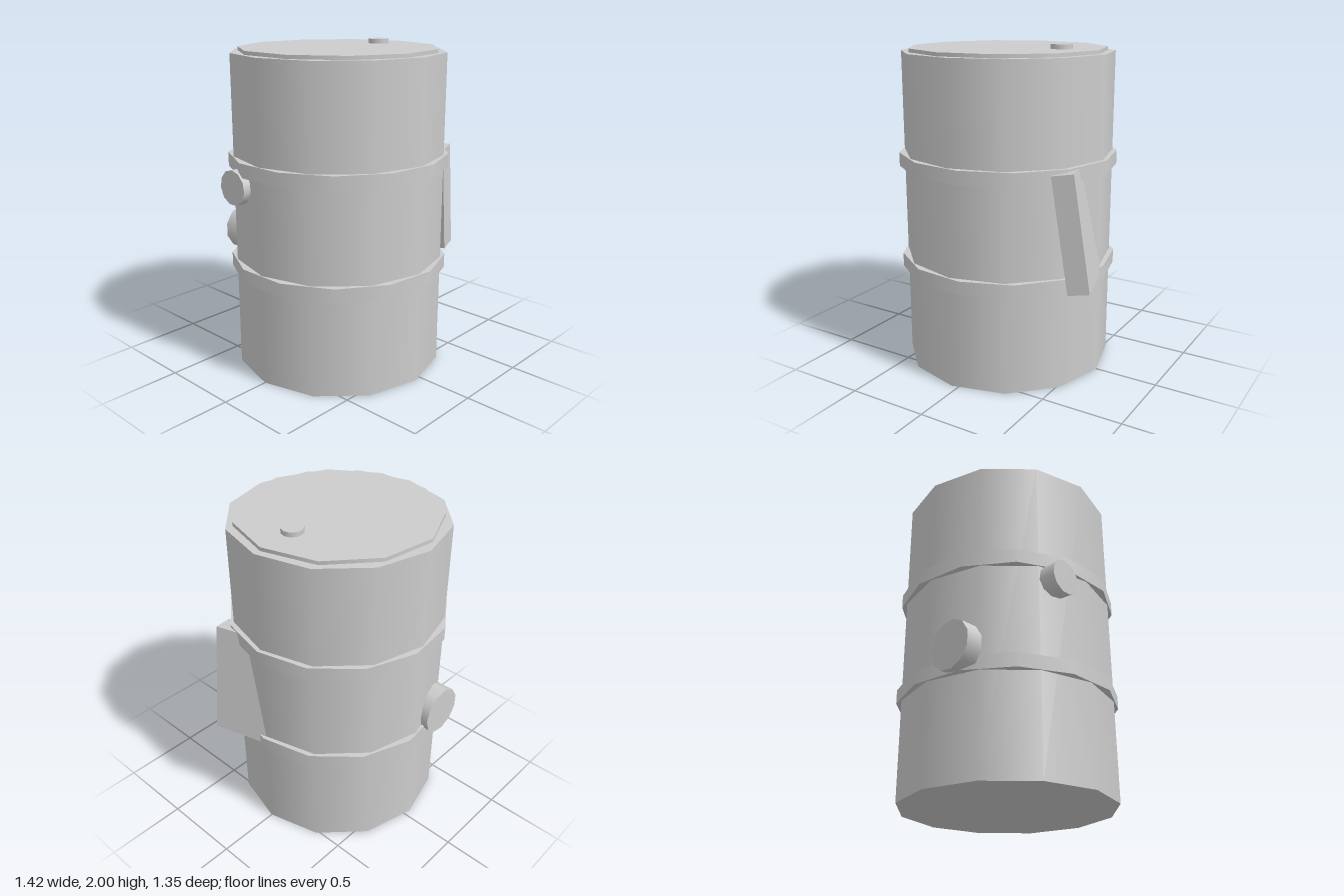
import * as THREE from 'three';

export function createModel() {
  const group = new THREE.Group();
  const grey = new THREE.MeshStandardMaterial({ color: 0xcccccc });
  grey.name = 'grey metal';
  const centreX = -0.045;

  // Closed, smooth-sided cylinder with its first corner facing +x
  const drum = (name, radius, length, sides, x, y, z) => {
    const geometry = new THREE.CylinderGeometry(radius, radius, length, sides, 1, false, Math.PI / 2);
    const mesh = new THREE.Mesh(geometry, grey);
    mesh.name = name;
    mesh.position.set(x, y, z);
    group.add(mesh);
    return mesh;
  };

  // Barrel, two hoops, raised lid and its bung
  drum('barrelBody', 0.65, 1.95, 12, centreX, 0.975, 0);
  drum('lowerHoop', 0.675, 0.085, 13, centreX, 0.652, 0);
  drum('upperHoop', 0.675, 0.085, 13, centreX, 1.302, 0);
  drum('lid', 0.605, 0.03, 11, centreX, 1.957, 0);
  drum('lidBung', 0.065, 0.04, 10, 0.323, 1.98, 0);

  // Round caps on the back and on the right side
  drum('backCap', 0.15, 0.105, 11, -0.26, 0.755, -0.628).rotation.x = -Math.PI / 2;
  drum('sideCap', 0.107, 0.125, 11, -0.652, 1.19, -0.215).rotation.z = Math.PI / 2;

  // Slanted plate sunk into the left side, placed from its top outer front corner
  const [thickness, height, depth] = [0.13, 0.7, 0.37];
  const down = new THREE.Vector3(0.143, -0.985, -0.043).normalize();
  const inward = new THREE.Vector3(-0.273, 0.003, -0.968);
  inward.addScaledVector(down, -inward.dot(down)).normalize();
  const up = down.clone().negate();
  const front = inward.clone().negate();
  const outward = new THREE.Vector3().crossVectors(up, front);
  const plate = new THREE.Mesh(new THREE.BoxGeometry(thickness, height, depth), grey);
  plate.name = 'slantedPlate';
  plate.quaternion.setFromRotationMatrix(new THREE.Matrix4().makeBasis(outward, up, front));
  plate.position.set(0.61, 1.335, 0.375)
    .addScaledVector(outward, -thickness / 2)
    .addScaledVector(down, height / 2)
    .addScaledVector(inward, depth / 2);
  group.add(plate);

  return group;
}
